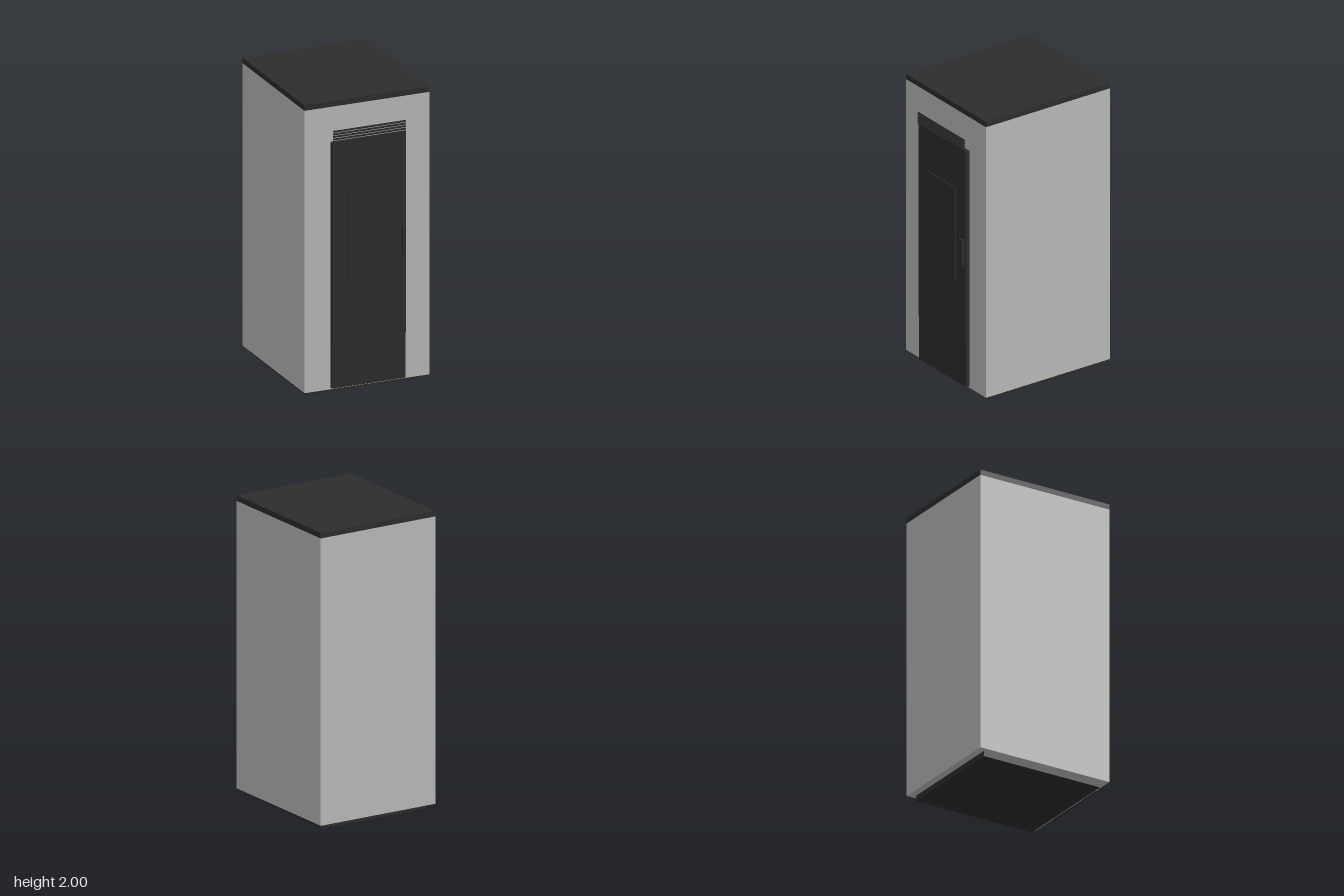
import * as THREE from 'three';

export function createModel() {
  const stove = new THREE.Group();
  stove.name = 'pelletStove';

  const paleGrey = new THREE.MeshStandardMaterial({ color: 0xbdbebc });
  paleGrey.name = 'pale grey steel';
  const charcoal = new THREE.MeshStandardMaterial({ color: 0x2d2d2d });
  charcoal.name = 'charcoal iron';

  // Box given by its lower and upper limits on each axis
  function box(name, material, [x0, x1], [y0, y1], [z0, z1]) {
    const mesh = new THREE.Mesh(new THREE.BoxGeometry(x1 - x0, y1 - y0, z1 - z0), material);
    mesh.position.set((x0 + x1) / 2, (y0 + y1) / 2, (z0 + z1) / 2);
    mesh.name = name;
    stove.add(mesh);
    return mesh;
  }

  // Cabinet: plinth, body and top plate
  box('plinth', charcoal, [-0.405, 0.405], [0, 0.037], [-0.469, 0.414]);
  box('body', paleGrey, [-0.439, 0.439], [0.037, 1.963], [-0.518, 0.463]);
  box('topPlate', charcoal, [-0.439, 0.439], [1.963, 2], [-0.518, 0.463]);

  // Front: slightly recessed lower panel below the tall door
  box('lowerPanel', charcoal, [-0.258, 0.258], [0.05, 0.363], [0.463, 0.49]);
  box('door', charcoal, [-0.258, 0.258], [0.363, 1.725], [0.463, 0.495]);
  box('window', charcoal, [-0.153, 0.153], [0.772, 1.432], [0.495, 0.503]);
  box('handle', charcoal, [0.226, 0.249], [0.907, 1.098], [0.495, 0.518]);

  // Row of thin air-vent slats standing clear of the body
  for (let i = 0; i < 5; i++) {
    const y = 1.734 + i * 0.0175;
    box('ventSlat', charcoal, [-0.254, 0.254], [y - 0.005, y + 0.005], [0.494, 0.504]);
  }

  return stove;
}
